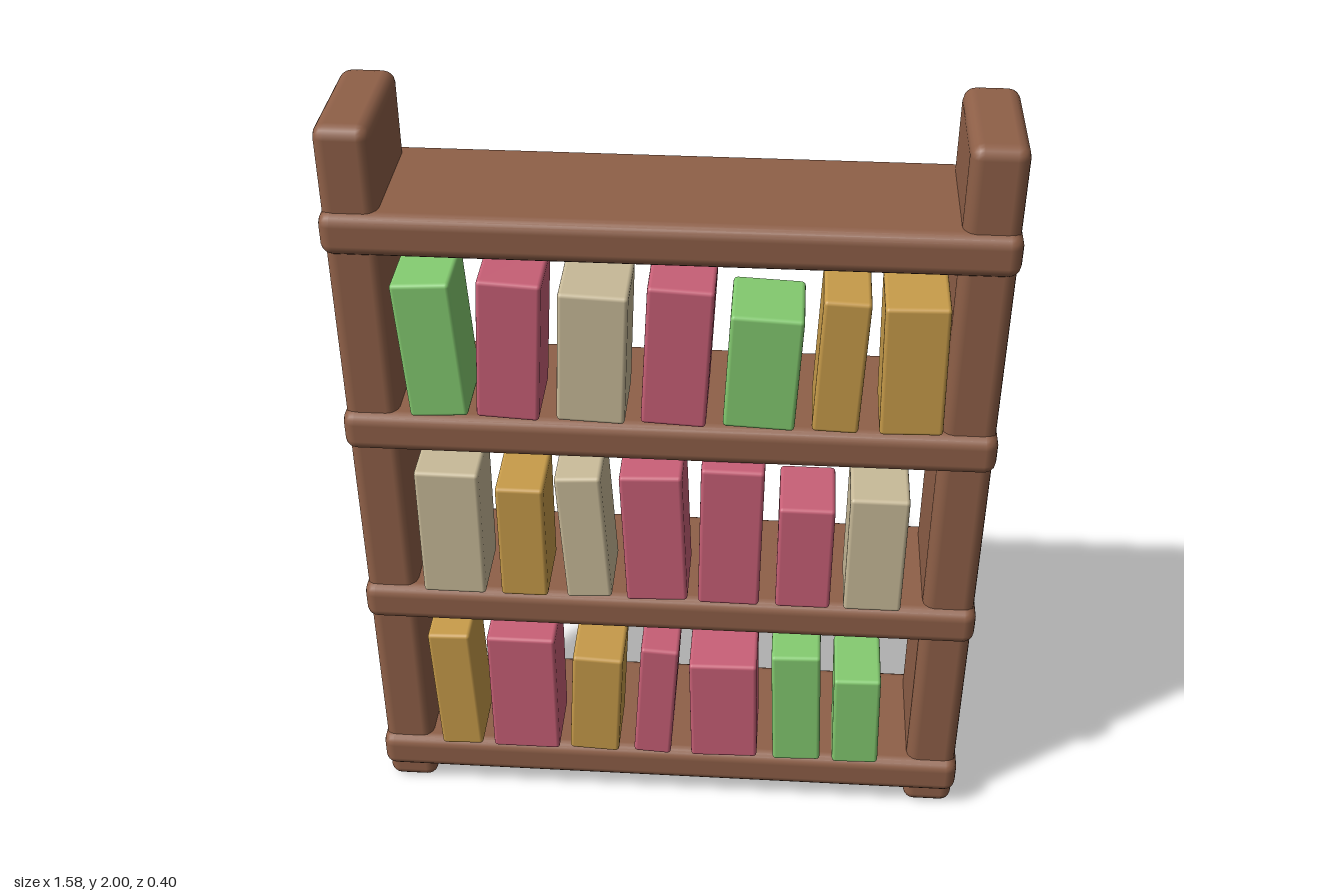
import * as THREE from 'three';
import { RoundedBoxGeometry } from 'three/addons/geometries/RoundedBoxGeometry.js';

export function createModel() {
  const group = new THREE.Group();
  group.name = 'bookshelf';

  const material = (name, color) => {
    const m = new THREE.MeshStandardMaterial({ color });
    m.name = name;
    return m;
  };
  const wood = material('brown wood', 0x8f6048);
  const covers = {
    green: material('green cover', 0x84cb70),
    pink: material('pink cover', 0xc96077),
    tan: material('tan cover', 0xc9bb99),
    gold: material('gold cover', 0xc89c4a),
  };

  const block = (name, mat, size, radius, position, parent = group) => {
    const mesh = new THREE.Mesh(new RoundedBoxGeometry(...size, 2, radius), mat);
    mesh.name = name;
    mesh.position.set(...position);
    parent.add(mesh);
    return mesh;
  };

  // Upright posts
  for (const side of [1, -1]) {
    block(side > 0 ? 'leftPost' : 'rightPost', wood,
      [0.132, 2, 0.336], 0.03, [side * 0.72, 1, -0.01]);
  }

  // Shelves, evenly spaced and wrapping around the posts
  for (let i = 0; i < 4; i++) {
    block(`shelf${i + 1}`, wood, [1.584, 0.107, 0.378], 0.03,
      [0, 0.114 + i * 0.5425, -0.01]);
  }

  // Books per row: [cover, centre x, width, top y, tilt]
  const rows = [
    { bottom: 0.186, books: [
      ['gold', -0.567, 0.112, 0.582, 0.035], ['pink', -0.384, 0.18, 0.578, 0],
      ['gold', -0.19, 0.133, 0.524, -0.05], ['pink', -0.029, 0.1, 0.563, -0.06],
      ['pink', 0.151, 0.178, 0.518, 0.025], ['green', 0.344, 0.128, 0.56, 0.04],
      ['green', 0.505, 0.123, 0.486, 0.03]] },
    { bottom: 0.73, books: [
      ['tan', -0.543, 0.16, 1.108, -0.005], ['gold', -0.364, 0.12, 1.068, 0],
      ['tan', -0.208, 0.115, 1.113, 0.06], ['pink', -0.032, 0.155, 1.124, 0.04],
      ['pink', 0.159, 0.155, 1.15, -0.01], ['pink', 0.345, 0.138, 1.042, 0],
      ['tan', 0.521, 0.145, 1.079, 0]] },
    { bottom: 1.274, books: [
      ['green', -0.554, 0.14, 1.645, 0.06], ['pink', -0.369, 0.15, 1.656, -0.055],
      ['tan', -0.174, 0.163, 1.63, -0.04], ['pink', 0.025, 0.155, 1.654, -0.05],
      ['green', 0.225, 0.17, 1.587, -0.045], ['gold', 0.405, 0.11, 1.635, -0.035],
      ['gold', 0.574, 0.15, 1.625, 0.025]] },
  ];
  rows.forEach(({ bottom, books }, r) => {
    const row = new THREE.Group();
    row.name = `bookRow${r + 1}`;
    books.forEach(([cover, x, width, top, tilt], i) => {
      // Shorten a leaning book so that its corners stay within the row
      const height = top - bottom - width * Math.abs(Math.sin(tilt));
      const book = block(`book${r + 1}_${i + 1}`, covers[cover],
        [width, height, 0.19], 0.01, [x, (top + bottom) / 2, 0.11], row);
      book.rotation.z = tilt;
    });
    group.add(row);
  });

  return group;
}
